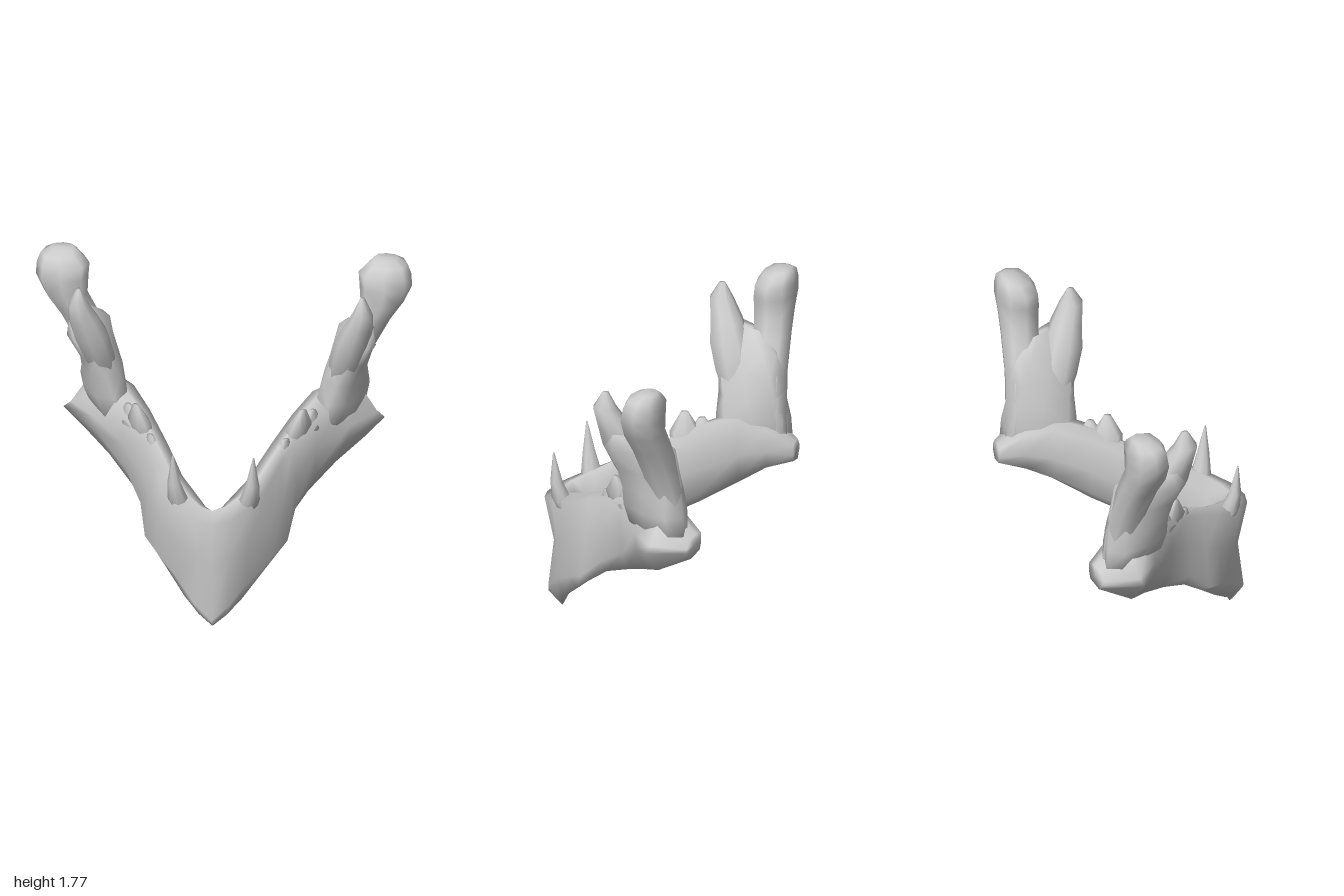
import * as THREE from 'three';

const material = new THREE.MeshStandardMaterial({ color: 0xcccccc });

// Skin a closed surface over a list of equal-sized rings, with fan caps
function loft(rings) {
  const n = rings[0].length, points = rings.flat(), index = [];
  for (let r = 0; r < rings.length - 1; r++) {
    for (let i = 0; i < n; i++) {
      const j = (i + 1) % n, a = r * n + i, b = r * n + j;
      index.push(a, b, b + n, a, b + n, a + n);
    }
  }
  [0, rings.length - 1].forEach((r) => {
    const centre = new THREE.Vector3();
    rings[r].forEach((p) => centre.addScaledVector(p, 1 / n));
    const c = points.push(centre) - 1;
    for (let i = 0; i < n; i++) {
      const a = r * n + i, b = r * n + (i + 1) % n;
      if (r === 0) index.push(c, b, a); else index.push(c, a, b);
    }
  });
  // Turn the faces outward whichever way the rings run
  let volume = 0;
  const cross = new THREE.Vector3();
  for (let i = 0; i < index.length; i += 3) {
    volume += cross.crossVectors(points[index[i + 1]], points[index[i + 2]]).dot(points[index[i]]);
  }
  if (volume < 0) index.reverse();
  const geometry = new THREE.BufferGeometry().setFromPoints(points);
  geometry.setIndex(index);
  geometry.computeVertexNormals();
  return geometry;
}

// Horizontal, slightly squared oval ring: centre, half thickness, half length, long-axis turn
function oval(side, [x, y, z, thick, length, turn], n = 8) {
  const square = (v) => Math.sign(v) * Math.abs(v) ** 0.8;
  const ring = [];
  for (let i = 0; i < n; i++) {
    const t = (i / n) * Math.PI * 2;
    const u = square(Math.cos(t)) * thick, v = square(Math.sin(t)) * length;
    ring.push(new THREE.Vector3(
      side * (x + u * Math.cos(turn) - v * Math.sin(turn)), y,
      z + u * Math.sin(turn) + v * Math.cos(turn)));
  }
  return ring;
}

// Upright section of the jaw body, its lower edge leaning outward
function bodyRing(side, [x, z, angle, low, high, outLow, fLow, outMid, outHigh, inner]) {
  const at = (offset, f) => new THREE.Vector3(
    side * (x + Math.sin(angle) * offset), low + (high - low) * f, z + Math.cos(angle) * offset);
  return [at(angle * outLow * 0.4, 0), at(outLow, fLow), at(outMid, 0.55), at(outHigh, 0.94),
    at(0, 1), at(-inner, 0.93), at(-inner, 0.5), at(-inner * 0.7, 0.18)];
}

export function createModel() {
  const model = new THREE.Group();
  const add = (name, geometry) => {
    const mesh = new THREE.Mesh(geometry, material);
    mesh.name = name;
    model.add(mesh);
  };

  // Jaw body: x, z, facing, bottom, top, outer offsets (low, its height, mid, high), inner offset
  const stations = [
    [0.00, 0.50, 0.00, 0.00, 0.69, 0.08, 0.10, 0.03, 0.09, 0.08],
    [0.07, 0.475, 0.35, 0.06, 0.705, 0.07, 0.14, 0.04, 0.09, 0.08],
    [0.14, 0.41, 0.75, 0.13, 0.735, 0.06, 0.18, 0.06, 0.085, 0.08],
    [0.24, 0.28, 1.05, 0.25, 0.80, 0.08, 0.15, 0.07, 0.06, 0.07],
    [0.29, 0.18, 1.10, 0.34, 0.85, 0.10, 0.08, 0.07, 0.05, 0.07],
    [0.35, 0.06, 1.10, 0.44, 0.90, 0.07, 0.15, 0.07, 0.05, 0.07],
    [0.44, -0.10, 1.10, 0.52, 0.98, 0.07, 0.22, 0.08, 0.08, 0.07],
    [0.54, -0.28, 1.20, 0.61, 1.03, 0.14, 0.35, 0.15, 0.11, 0.07],
    [0.61, -0.42, 1.35, 0.69, 0.99, 0.25, 0.46, 0.21, 0.13, 0.075],
    [0.64, -0.565, 1.40, 0.765, 0.89, 0.09, 0.35, 0.09, 0.05, 0.045],
  ];
  add('jawBody', loft([
    ...stations.slice(1).reverse().map((s) => bodyRing(-1, s)),
    ...stations.map((s) => bodyRing(1, s)),
  ]));

  for (const side of [1, -1]) {
    const label = side > 0 ? 'left' : 'right';
    const column = (name, rows) => add(label + name, loft(rows.map((r) => oval(side, r))));

    // Flat rising branch behind the tooth row
    column('Ramus', [
      [0.59, 0.78, -0.34, 0.03, 0.10, 0.45],
      [0.62, 0.88, -0.335, 0.09, 0.205, 0.42],
      [0.635, 1.00, -0.325, 0.115, 0.20, 0.35],
      [0.645, 1.12, -0.315, 0.11, 0.185, 0.20],
      [0.67, 1.24, -0.295, 0.10, 0.19, 0.0],
      [0.715, 1.37, -0.27, 0.08, 0.19, -0.35],
      [0.755, 1.46, -0.24, 0.03, 0.10, -0.50],
    ]);
    // Front prong
    column('FrontProng', [
      [0.61, 1.06, -0.25, 0.05, 0.06, 0.0],
      [0.655, 1.24, -0.20, 0.085, 0.10, 0.0],
      [0.695, 1.38, -0.16, 0.095, 0.11, 0.0],
      [0.73, 1.49, -0.125, 0.08, 0.085, 0.0],
      [0.755, 1.59, -0.085, 0.055, 0.065, 0.0],
      [0.755, 1.68, -0.09, 0.012, 0.018, 0.0],
    ]);
    // Rear prong with the broad hinge head
    column('RearProng', [
      [0.635, 0.86, -0.46, 0.04, 0.06, 0.0],
      [0.655, 1.06, -0.405, 0.085, 0.10, 0.0],
      [0.70, 1.24, -0.39, 0.095, 0.095, 0.0],
      [0.78, 1.42, -0.37, 0.105, 0.10, 0.0],
      [0.84, 1.53, -0.355, 0.115, 0.105, 0.0],
      [0.86, 1.63, -0.355, 0.14, 0.11, 0.0],
      [0.855, 1.70, -0.36, 0.14, 0.105, 0.0],
      [0.87, 1.75, -0.37, 0.105, 0.085, 0.0],
      [0.86, 1.775, -0.39, 0.06, 0.045, 0.0],
    ]);
    // Pointed front tooth
    column('Fang', [
      [0.165, 0.60, 0.38, 0.04, 0.05, 0.7],
      [0.19, 0.72, 0.42, 0.05, 0.055, 0.7],
      [0.208, 0.82, 0.44, 0.033, 0.035, 0.7],
      [0.215, 0.99, 0.455, 0.004, 0.004, 0.7],
    ]);
    // Worn back teeth forming a low uneven ridge
    [[0.445, -0.01, 1.04, 0.055], [0.36, 0.08, 0.91, 0.045], [0.49, -0.09, 1.00, 0.06]]
      .forEach(([x, z, top, r], i) => column('BackTooth' + (i + 1), [
        [x - 0.05, top - 0.25, z - 0.03, r * 0.6, r * 1.4, 0.5],
        [x - 0.02, top - 0.1, z - 0.01, r, r * 1.5, 0.5],
        [x, top, z, 0.015, 0.02, 0.5],
      ]));
  }
  return model;
}
